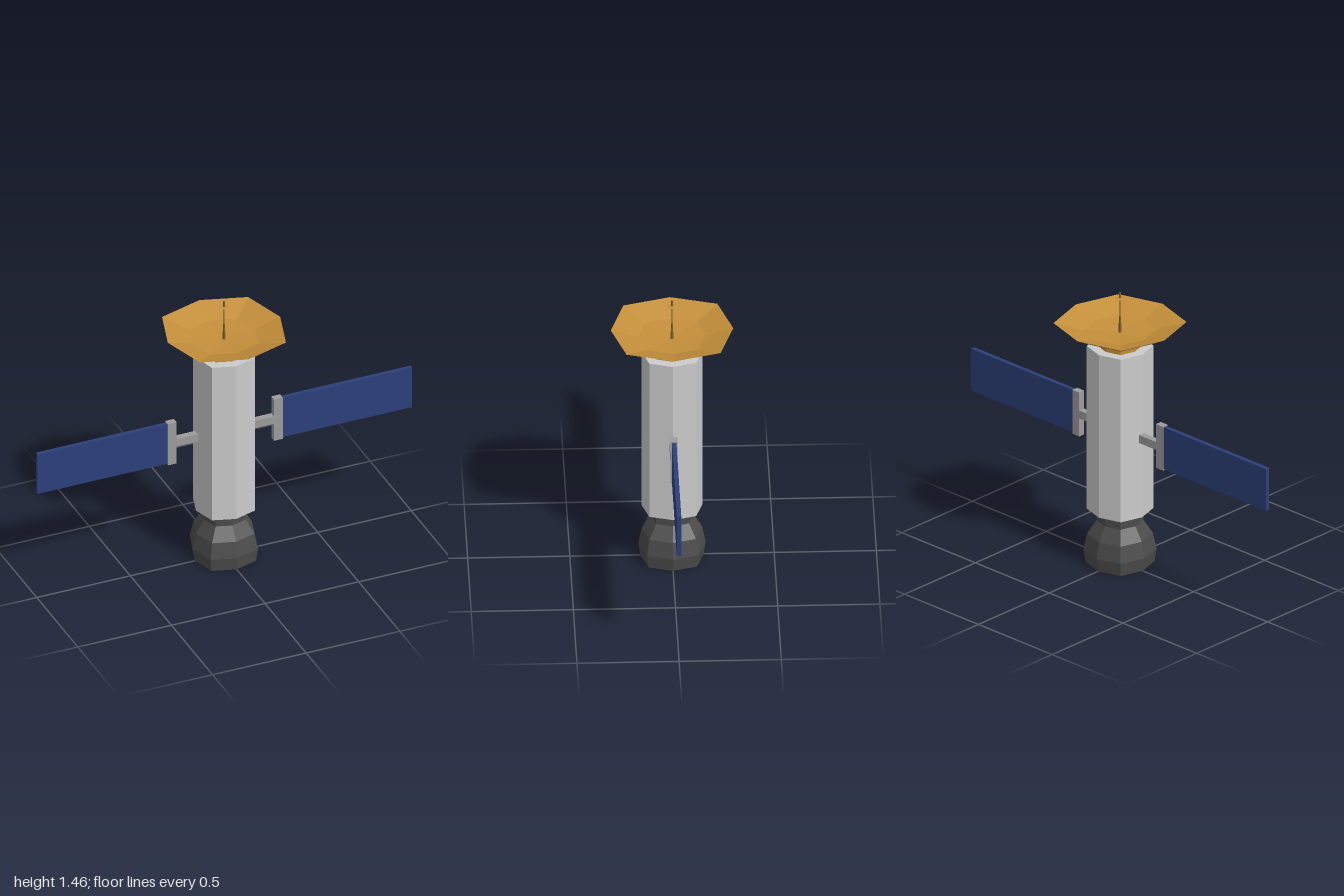
import * as THREE from 'three';

const paint = (color) => new THREE.MeshStandardMaterial({ color, flatShading: true, side: THREE.DoubleSide });

// Eight-sided lathe whose diagonal corners are pushed out slightly
function octagon(name, profile, material) {
  const geo = new THREE.LatheGeometry(profile.map(([r, y]) => new THREE.Vector2(r, y)), 8);
  const p = geo.attributes.position;
  for (let i = 0; i < p.count; i++) {
    const x = p.getX(i), z = p.getZ(i);
    if (Math.min(Math.abs(x), Math.abs(z)) > 1e-4) p.setXYZ(i, x * 1.085, p.getY(i), z * 1.085);
  }
  geo.computeVertexNormals();
  const mesh = new THREE.Mesh(geo, material);
  mesh.name = name;
  return mesh;
}

function box(name, [x0, x1], [y0, y1], depth, material) {
  const mesh = new THREE.Mesh(new THREE.BoxGeometry(x1 - x0, y1 - y0, depth), material);
  mesh.position.set((x0 + x1) / 2, (y0 + y1) / 2, 0);
  mesh.name = name;
  return mesh;
}

export function createModel() {
  const model = new THREE.Group();
  model.name = 'satellite';
  const grey = paint(0xcccccc), steel = paint(0x9c9c9c), dark = paint(0x4c4c4c);
  const gold = paint(0xc48f3a), bronze = paint(0x7d5c2a), blue = paint(0x2d3f7a);

  // Central hull
  model.add(octagon('body', [[0.15, 0.288], [0.15, 1.167], [0, 1.167]], grey));

  // Hollow engine bell, with its mounting plate under the hull
  model.add(octagon('engineNozzle', [
    [0, 0.19], [0.075, 0.18], [0.125, 0.07], [0.118, 0], [0.155, 0],
    [0.165, 0.07], [0.148, 0.155], [0.105, 0.225], [0.105, 0.286], [0.15, 0.288],
  ], dark));

  // Collar and shallow dish
  model.add(octagon('dishCollar', [[0.1, 1.167], [0.1, 1.212]], gold));
  model.add(octagon('dish', [
    [0, 1.21], [0.1, 1.21], [0.225, 1.25], [0.3, 1.292], [0.165, 1.252], [0, 1.24],
  ], gold));

  // Antenna: tapered base, thin rod, small disc and tip
  const antenna = new THREE.Group();
  antenna.name = 'antenna';
  antenna.add(
    octagon('antennaBase', [[0.008, 1.238], [0.004, 1.325], [0, 1.325]], bronze),
    octagon('antennaRod', [[0.0025, 1.32], [0.0025, 1.425]], bronze),
    octagon('antennaDisc', [[0, 1.423], [0.024, 1.424], [0, 1.425]], gold),
    octagon('antennaTip', [[0.004, 1.425], [0.004, 1.456], [0, 1.456]], bronze),
  );
  model.add(antenna);

  // Solar wings, mirrored left and right
  for (const side of [1, -1]) {
    const wing = new THREE.Group();
    wing.name = side > 0 ? 'leftWing' : 'rightWing';
    const span = (a, b) => (side > 0 ? [a, b] : [-b, -a]);
    wing.add(
      box('wingArm', span(0.13, 0.262), [0.694, 0.737], 0.034, steel),
      box('wingBracket', span(0.26, 0.307), [0.597, 0.834], 0.034, steel),
      box('solarPanel', span(0.3, 1), [0.603, 0.829], 0.022, blue),
    );
    model.add(wing);
  }
  return model;
}
